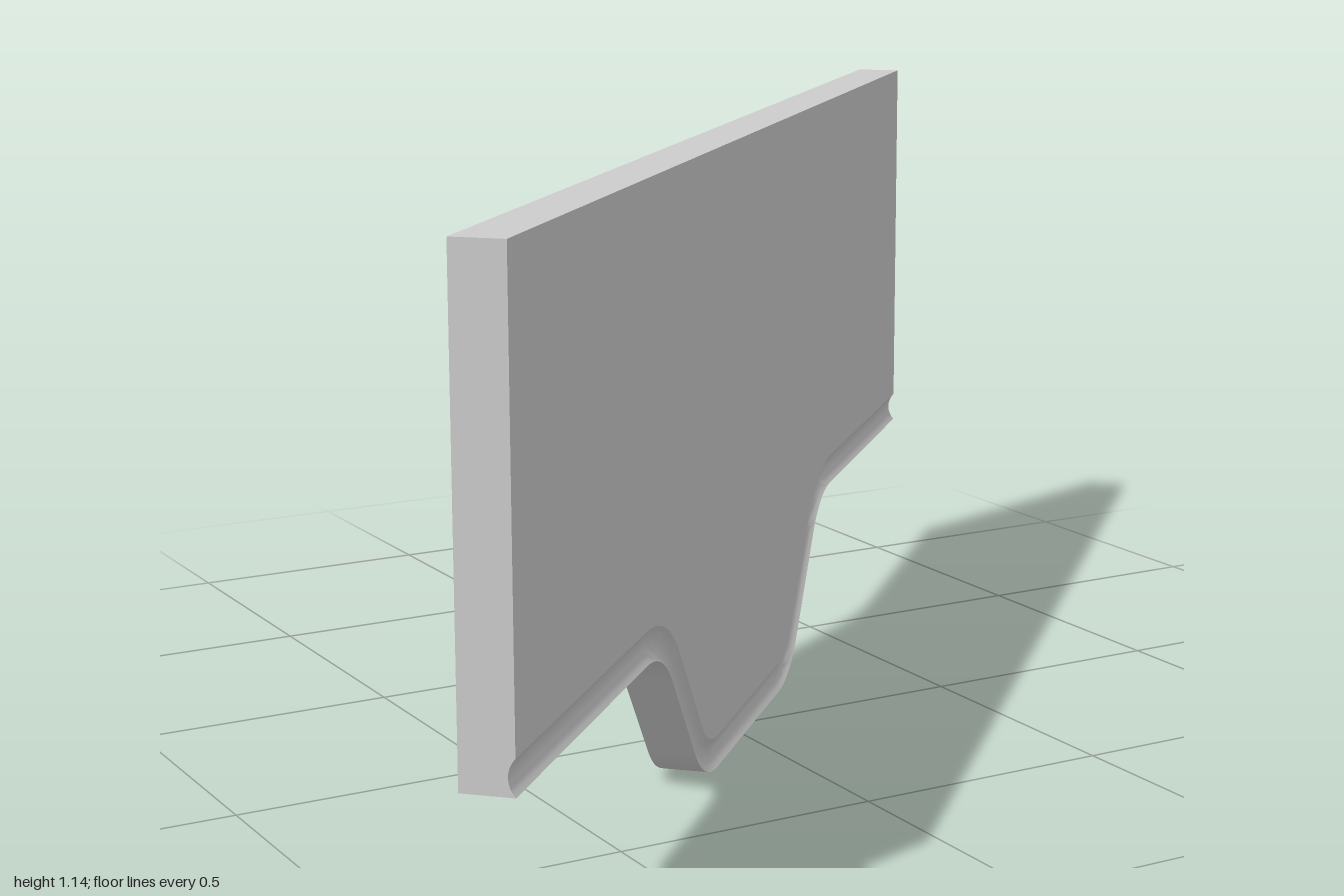
import * as THREE from 'three';
import { toCreasedNormals } from 'three/addons/utils/BufferGeometryUtils.js';

const HALF_LENGTH = 1.37, THICKNESS = 0.089, TOP = 1.145;
const WING_Y = 0.327, TAB_HALF = 0.24, WING_START = 0.69; // lower outline
const SLOPE = THREE.MathUtils.degToRad(51);
const COVE_HEIGHT = 0.06, COVE_DEPTH = 0.012;

// Lower outline from left end to right end: position and inward angle at each station
function lowerOutline() {
  const run = WING_START - TAB_HALF - WING_Y / Math.tan(SLOPE);
  const r = run / 2 / Math.tan(SLOPE / 2);
  const half = [{ x: TAB_HALF, y: 0, a: 0 }];
  const steps = 10;
  for (let i = 1; i <= steps; i++) {
    const a = SLOPE * i / steps;
    half.push({ x: TAB_HALF + r * Math.sin(a), y: r * (1 - Math.cos(a)), a });
  }
  for (let i = 0; i <= steps; i++) {
    const a = SLOPE * (1 - i / steps);
    half.push({ x: WING_START - r * Math.sin(a), y: WING_Y - r * (1 - Math.cos(a)), a });
  }
  half.push({ x: HALF_LENGTH, y: WING_Y, a: 0 });
  const mirrored = half.map(p => ({ x: -p.x, y: p.y, a: -p.a })).reverse();
  return [...mirrored, ...half];
}

// Hollow routed into the front edge: [distance inward, z], from inner to outer rim
function coveProfile() {
  const h = COVE_HEIGHT / 2;
  const r = (h * h + COVE_DEPTH * COVE_DEPTH) / (2 * COVE_DEPTH);
  const sweep = Math.asin(h / r), n = 8;
  return Array.from({ length: n + 1 }, (_, i) => {
    const a = sweep * (1 - 2 * i / n);
    return [h + r * Math.sin(a), THICKNESS / 2 - (r * Math.cos(a) - r * Math.cos(sweep))];
  });
}

function panelGeometry() {
  const cove = coveProfile(), back = -THICKNESS / 2;
  // Cross-section loops: down the front, round the cove, under, up the back
  const sections = lowerOutline().map(({ x, y, a }) => {
    const nx = -Math.sin(a), ny = Math.cos(a);
    const rim = cove.map(([d, z]) => [x + nx * d, y + ny * d, z]);
    return [[rim[0][0], TOP, THICKNESS / 2], ...rim, [x, y, back], [x, TOP, back]];
  });
  const count = sections[0].length, last = sections.length - 1, index = [];
  for (let i = 0; i < last; i++) {
    for (let j = 0; j < count; j++) {
      const k = (j + 1) % count;
      const a = i * count + j, b = i * count + k;
      index.push(a, b, b + count, a, b + count, a + count);
    }
  }
  // End caps
  const contour = sections[0].map(p => new THREE.Vector2(-p[2], p[1]));
  for (const [a, b, c] of THREE.ShapeUtils.triangulateShape(contour, [])) {
    const o = last * count;
    index.push(o + a, o + b, o + c, a, c, b);
  }
  const geometry = new THREE.BufferGeometry();
  geometry.setAttribute('position', new THREE.Float32BufferAttribute(sections.flat(2), 3));
  geometry.setIndex(index);
  return toCreasedNormals(geometry, Math.PI / 6);
}

export function createModel() {
  const group = new THREE.Group();
  group.name = 'valancePanel';
  const panel = new THREE.Mesh(panelGeometry(), new THREE.MeshStandardMaterial({ color: 0xcccccc }));
  panel.name = 'panel';
  panel.rotation.y = Math.PI / 4; // set diagonally
  group.add(panel);
  return group;
}
